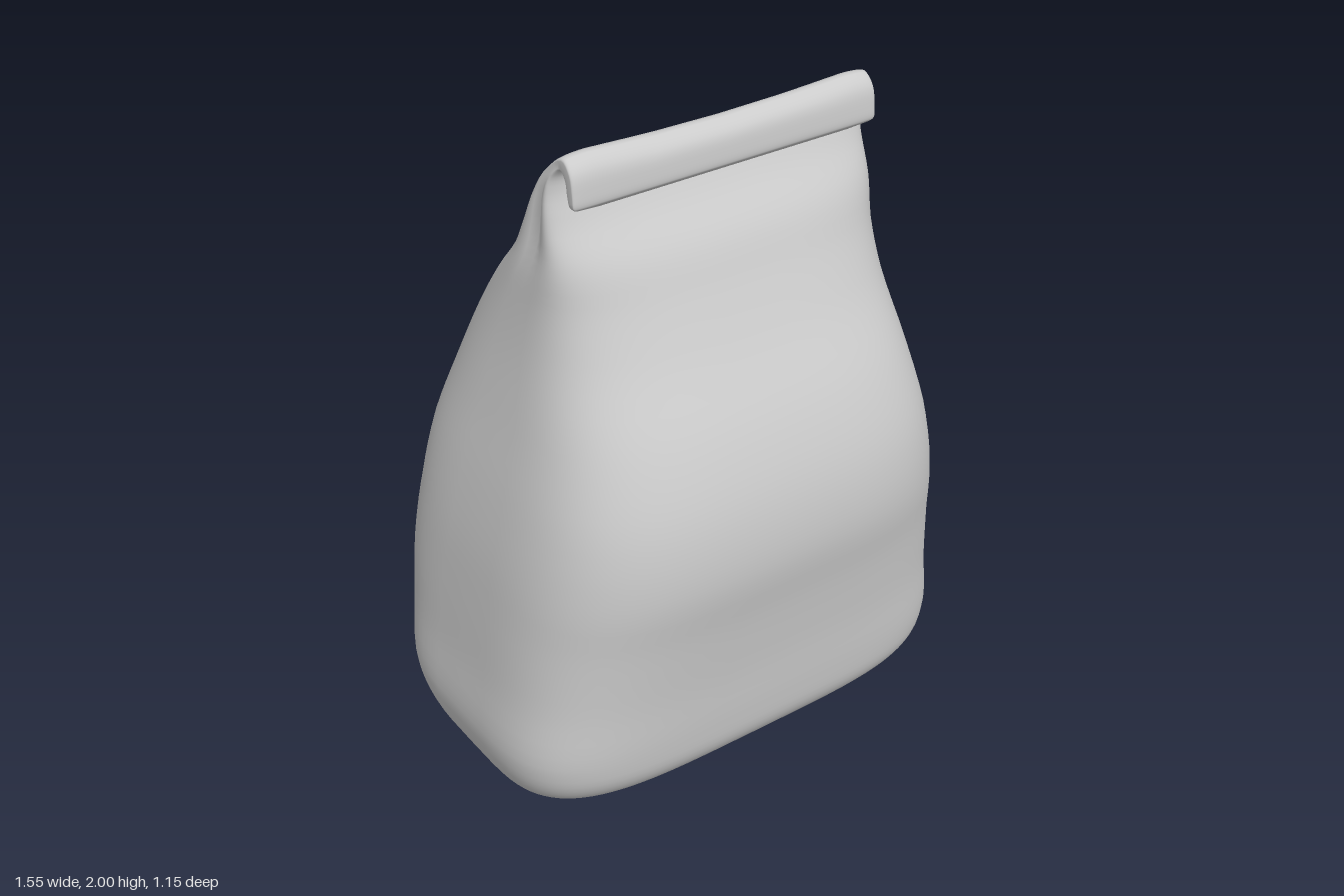
import * as THREE from 'three';

// Stations up the bag: half width, front y, front z, back y, back z, corner squareness
const STATIONS = [
  [0.02, 0, 0.01, 0, -0.01, 4],
  [0.45, 0.003, 0.22, 0.003, -0.22, 4],
  [0.64, 0.018, 0.34, 0.018, -0.35, 4],
  [0.725, 0.05, 0.42, 0.05, -0.435, 4],
  [0.76, 0.12, 0.47, 0.12, -0.485, 4],
  [0.775, 0.22, 0.49, 0.22, -0.515, 4],
  [0.755, 0.4, 0.51, 0.4, -0.55, 3.8],
  [0.735, 0.6, 0.54, 0.6, -0.572, 3.6],
  [0.71, 0.8, 0.575, 0.8, -0.56, 3.4],
  [0.67, 1.0, 0.562, 1.0, -0.52, 3.4],
  [0.62, 1.2, 0.5, 1.2, -0.44, 3.3],
  [0.575, 1.4, 0.4, 1.4, -0.335, 3.2],
  [0.552, 1.55, 0.335, 1.55, -0.22, 3.2],
  [0.547, 1.68, 0.285, 1.68, -0.085, 3.2],
  [0.54, 1.79, 0.215, 1.79, 0.005, 3.4],
  [0.522, 1.87, 0.178, 1.88, 0.07, 4],
  [0.505, 1.92, 0.17, 1.95, 0.13, 5],
  // fold-over lip
  [0.49, 1.942, 0.184, 2.0, 0.2, 6],
  [0.49, 1.925, 0.203, 1.965, 0.24, 7],
  [0.49, 1.89, 0.212, 1.9, 0.251, 8],
  [0.488, 1.866, 0.222, 1.868, 0.25, 8],
  [0.475, 1.858, 0.23, 1.858, 0.242, 8],
  [0.01, 1.857, 0.235, 1.857, 0.237, 8],
];

const SIDES = 96, STEPS = 4;

function createBagGeometry() {
  const curve = (y, z) => new THREE.CatmullRomCurve3(
    STATIONS.map((s) => new THREE.Vector3(s[0], s[y], s[z])));
  const front = curve(1, 2), back = curve(3, 4);
  const spans = STATIONS.length - 1, rows = spans * STEPS;
  const positions = [], index = [];

  for (let i = 0; i <= rows; i++) {
    const t = i / rows;
    const f = front.getPoint(t), b = back.getPoint(t);
    const k = Math.min(Math.floor(t * spans), spans - 1);
    const n = THREE.MathUtils.lerp(STATIONS[k][5], STATIONS[k + 1][5], t * spans - k);
    const width = (f.x + b.x) / 2;
    // side gussets tuck in slightly just below the lip
    const rise = ((f.y + b.y) / 2 - 1.77) / 0.13;
    const tuck = k < 17 ? 0.07 * Math.exp(-rise * rise) : 0;

    for (let j = 0; j < SIDES; j++) {
      const a = (j / SIDES) * Math.PI * 2, c = Math.cos(a), s = Math.sin(a);
      const u = Math.sign(c) * Math.pow(Math.abs(c), 2 / n);
      const v = Math.sign(s) * Math.pow(Math.abs(s), 2 / n);
      const x = width * u * (1 - tuck * Math.pow(1 - Math.abs(v), 2));
      const m = (v + 1) / 2;
      let y = THREE.MathUtils.lerp(b.y, f.y, m);
      // the crest sags a little in the middle
      y -= 0.015 * THREE.MathUtils.smoothstep(y, 1.9, 2) * Math.max(0, 1 - Math.pow(x / 0.42, 2));
      positions.push(x, y, THREE.MathUtils.lerp(b.z, f.z, m));
      if (i < rows) {
        const p = i * SIDES + j, q = i * SIDES + ((j + 1) % SIDES);
        index.push(p, p + SIDES, q, q, p + SIDES, q + SIDES);
      }
    }
  }

  // close the base and the tip of the lip
  const end = rows * SIDES;
  for (let j = 1; j < SIDES - 1; j++) {
    index.push(0, j, j + 1, end, end + j + 1, end + j);
  }

  const geometry = new THREE.BufferGeometry();
  geometry.setAttribute('position', new THREE.Float32BufferAttribute(positions, 3));
  geometry.setIndex(index);
  geometry.computeVertexNormals();
  return geometry;
}

export function createModel() {
  const group = new THREE.Group();
  group.name = 'foldedBag';
  const bag = new THREE.Mesh(createBagGeometry(),
    new THREE.MeshStandardMaterial({ color: 0xcccccc }));
  bag.name = 'bagBody';
  group.add(bag);
  return group;
}
